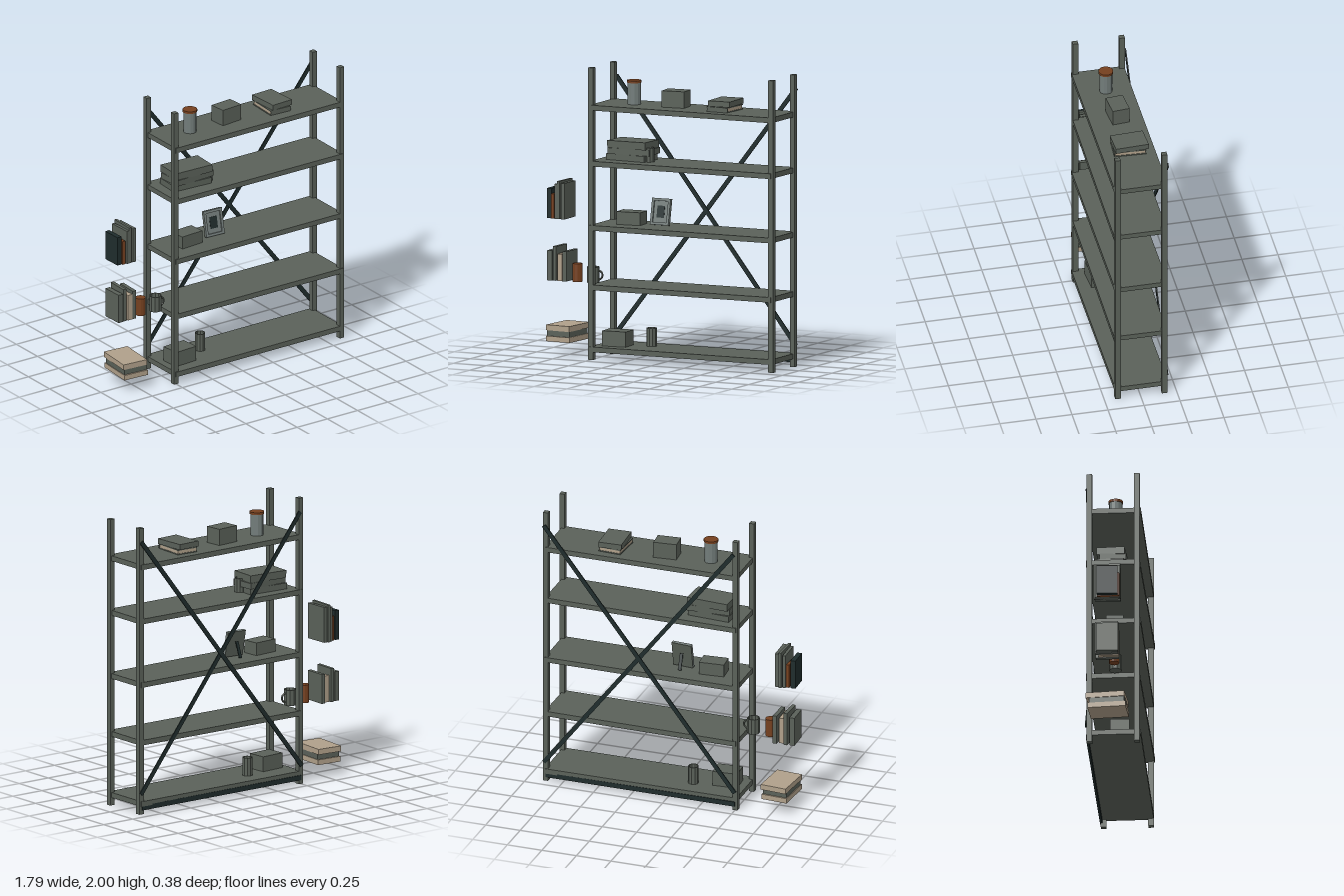
import * as THREE from 'three';

export function createModel() {
  const root = new THREE.Group();
  const mat = (name, color) => {
    const m = new THREE.MeshStandardMaterial({ color, flatShading: true });
    m.name = name;
    return m;
  };
  const steel = mat('grey green steel', 0x5a6159);
  const dark = mat('dark teal', 0x1f2c2c);
  const cream = mat('cream paper', 0xb0a08a);
  const copper = mat('copper', 0x75401f);
  const glass = mat('pale grey', 0x727c7a);

  const add = (name, geo, material, x, y, z, parent = root) => {
    const m = new THREE.Mesh(geo, material);
    m.name = name;
    m.position.set(x, y, z);
    parent.add(m);
    return m;
  };
  // Box standing on y, optionally turned about the vertical axis
  const box = (name, material, x, y, z, w, h, d, turn = 0, parent = root) => {
    const m = add(name, new THREE.BoxGeometry(w, h, d), material, x, y + h / 2, z, parent);
    m.rotation.y = turn;
    return m;
  };
  const can = (name, material, x, y, z, r, h, sides = 12) =>
    add(name, new THREE.CylinderGeometry(r, r, h, sides), material, x, y + h / 2, z);
  // Open cup with wall thickness and a floor
  const cup = (name, x, y, z, r, h, sides = 10) => {
    const pts = [[0, 0], [r, 0], [r, h], [r * 0.86, h], [r * 0.82, h * 0.12], [0, h * 0.12]]
      .map(p => new THREE.Vector2(...p));
    return add(name, new THREE.LatheGeometry(pts, sides), steel, x, y, z);
  };

  // Posts
  for (const x of [-0.5, 0.872]) for (const z of [0.157, -0.166])
    box('post', steel, x, 0, z, 0.036, 2, 0.038);

  // Shelves, each a little out of true
  const tops = [0.09, 0.515, 0.922, 1.362, 1.745];
  tops.forEach((top, i) => {
    const s = box('shelf', steel, 0.185, top - 0.036, -0.004, 1.385, 0.036, 0.366, (i % 2 ? -1 : 1) * 0.005);
    s.rotation.z = [0, 0.002, 0, 0.002, 0][i];
  });

  // Crossed braces and the low rail at the back
  const brace = (x1, y1, x2, y2, z) => {
    const len = Math.hypot(x2 - x1, y2 - y1);
    const m = add('backBrace', new THREE.BoxGeometry(len, 0.03, 0.008), dark, (x1 + x2) / 2, (y1 + y2) / 2, z);
    m.rotation.z = Math.atan2(y2 - y1, x2 - x1);
  };
  brace(-0.49, 1.905, 0.88, 0.14, -0.188);
  brace(0.88, 1.905, -0.5, 0.13, -0.192);
  box('bottomRail', dark, 0.185, 0.028, -0.182, 1.37, 0.034, 0.016);

  // Top shelf: lidded jar, box and two books
  can('jar', glass, -0.26, 1.745, -0.005, 0.045, 0.15);
  can('jarLid', copper, -0.26, 1.893, -0.005, 0.05, 0.016, 20);
  box('topBox', steel, 0.052, 1.745, -0.02, 0.163, 0.113, 0.12, 0.09);
  box('lowerBookCover', steel, 0.425, 1.745, -0.015, 0.16, 0.006, 0.22, -0.05);
  box('lowerBookPages', cream, 0.425, 1.751, -0.015, 0.152, 0.022, 0.21, -0.05);
  box('lowerBookSpine', steel, 0.425, 1.751, 0.092, 0.16, 0.022, 0.006, -0.05);
  box('lowerBookCover', steel, 0.425, 1.773, -0.015, 0.16, 0.006, 0.22, -0.05);
  box('upperBook', steel, 0.43, 1.782, -0.02, 0.163, 0.038, 0.23, 0.05);

  // Fourth shelf: piled boxes and a beaker
  box('pileLower', steel, -0.285, 1.362, -0.02, 0.3, 0.042, 0.18, -0.06);
  box('pileMiddle', steel, -0.27, 1.404, -0.02, 0.31, 0.042, 0.18, 0.05);
  const lidBox = box('pileUpper', steel, -0.277, 1.444, -0.022, 0.295, 0.052, 0.19, -0.05);
  lidBox.rotation.z = 0.01;
  cup('beaker', -0.132, 1.362, 0.02, 0.036, 0.097);

  // Third shelf: box and a leaning picture frame
  box('middleBox', steel, -0.282, 0.922, -0.01, 0.175, 0.088, 0.12, 0.08);
  const frame = new THREE.Group();
  frame.name = 'pictureFrame';
  frame.position.set(-0.06, 0.93, 0.005);
  frame.rotation.set(-0.2, -0.06, 0);
  root.add(frame);
  const W = 0.145, H = 0.182, b = 0.018;
  box('frameBack', steel, 0, 0, -0.008, W, H, 0.01, 0, frame);
  for (const s of [-1, 1]) {
    box('frameSide', glass, s * (W - b) / 2, 0, 0.002, b, H, 0.018, 0, frame);
    box('frameRail', glass, 0, s < 0 ? 0 : H - b, 0.002, W - 2 * b, b, 0.018, 0, frame);
  }
  box('frameMount', glass, 0, b, -0.001, W - 2 * b, H - 2 * b, 0.005, 0, frame);
  box('framePicture', dark, 0, 0.05, 0.002, 0.058, 0.082, 0.004, 0, frame);
  const strut = box('frameStrut', dark, -0.06, 0.925, -0.06, 0.022, 0.115, 0.008);
  strut.rotation.x = 0.35;

  // Bottom shelf: box and a beaker
  box('bottomBox', steel, -0.367, 0.09, 0.03, 0.175, 0.104, 0.135, 0.07);
  cup('bottomBeaker', -0.147, 0.09, -0.045, 0.036, 0.125);

  // Standing books beside the frame: [x, width, height, depth, z, material]
  const row = (y, books) => books.forEach(([x, w, h, d, z, m], i) =>
    box('standingBook', m, x, y, z, w, h, d, (i % 2 ? -1 : 1) * 0.03));
  row(0.93, [
    [-0.882, 0.034, 0.205, 0.14, -0.02, dark],
    [-0.848, 0.022, 0.17, 0.15, -0.015, copper],
    [-0.822, 0.02, 0.24, 0.17, -0.02, steel],
    [-0.8, 0.018, 0.26, 0.18, -0.025, steel],
    [-0.771, 0.026, 0.247, 0.17, -0.02, steel],
  ]);
  row(0.505, [
    [-0.876, 0.036, 0.205, 0.15, -0.02, steel],
    [-0.836, 0.025, 0.235, 0.155, -0.025, steel],
    [-0.798, 0.036, 0.185, 0.14, -0.015, cream],
    [-0.758, 0.028, 0.205, 0.16, -0.025, steel],
  ]);

  // Copper pot and handled mug
  can('copperPot', copper, -0.682, 0.505, 0.015, 0.035, 0.125);
  cup('mug', -0.56, 0.505, 0.015, 0.043, 0.11, 10);
  const handle = add('mugHandle', new THREE.TorusGeometry(0.03, 0.007, 6, 12, Math.PI), steel, -0.521, 0.56, 0.015);
  handle.rotation.z = -Math.PI / 2;

  // Lying stack of books
  box('stackBottom', cream, -0.777, 0.095, -0.02, 0.185, 0.036, 0.26, -0.06);
  box('stackMiddle', steel, -0.777, 0.131, -0.02, 0.175, 0.038, 0.24, -0.06);
  box('stackTop', cream, -0.777, 0.169, -0.028, 0.185, 0.038, 0.265, -0.08);

  return root;
}
